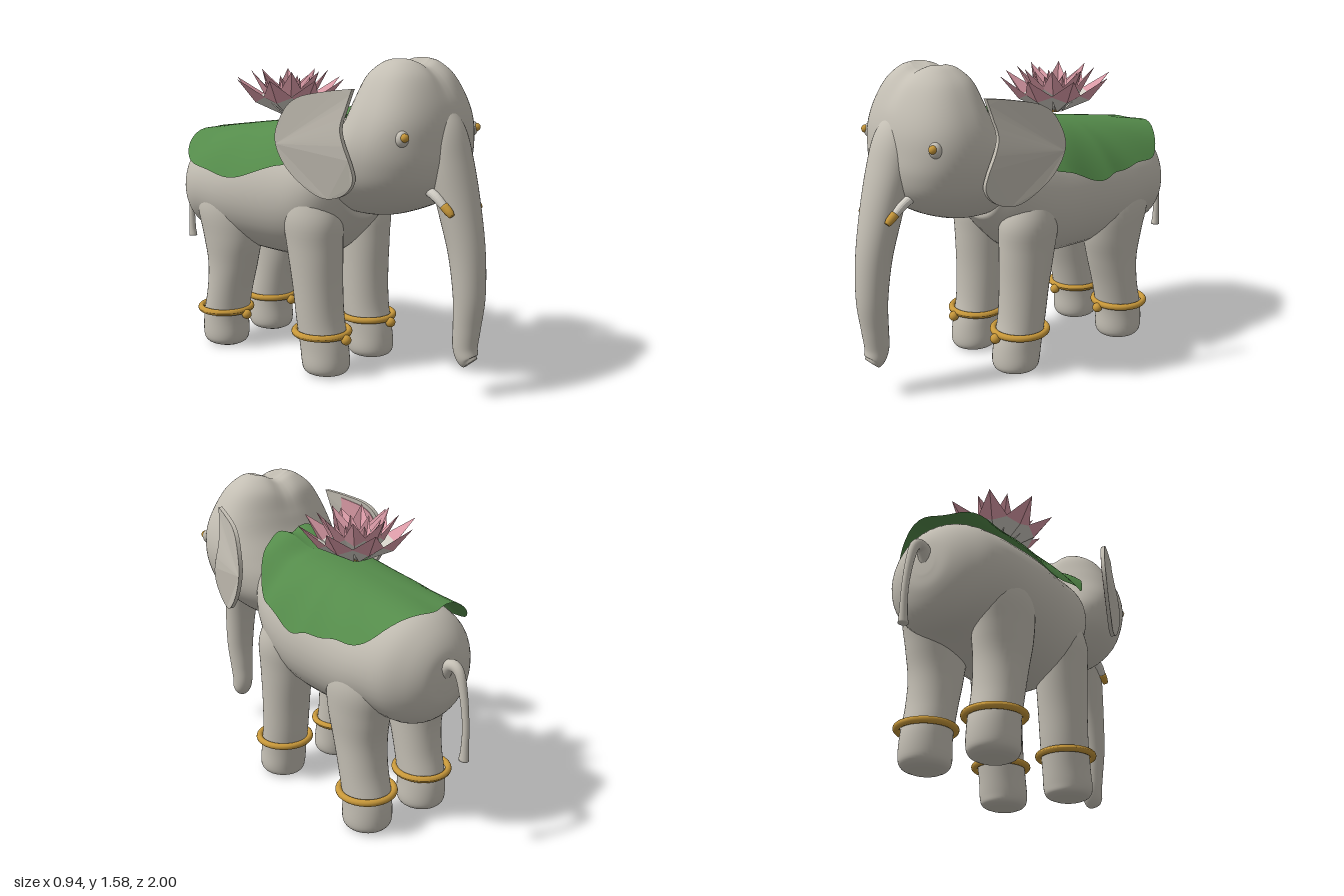
import * as THREE from 'three';

const paint = (name, color, extra = {}) => new THREE.MeshStandardMaterial({ name, color, ...extra });

// Smooth skin through sections [x, y, z, radiusX, radiusV]; w fixes the section normal, otherwise it follows the path.
function loft(sections, { w = null, power = 1, sides = 40, rows = 40 } = {}) {
  const path = new THREE.CatmullRomCurve3(sections.map(s => new THREE.Vector3(s[0], s[1], s[2])), false, 'catmullrom', 0.5);
  const radii = new THREE.CatmullRomCurve3(sections.map(s => new THREE.Vector3(s[3], s[4], 0)), false, 'catmullrom', 0.5);
  const u = new THREE.Vector3(1, 0, 0);
  const bend = a => Math.sign(a) * Math.abs(a) ** power;
  const pos = [], idx = [];
  for (let i = 0; i <= rows; i++) {
    const c = path.getPoint(i / rows), r = radii.getPoint(i / rows);
    const v = (w ? w.clone() : path.getTangent(i / rows)).cross(u).normalize();
    for (let j = 0; j < sides; j++) {
      const t = (j / sides) * Math.PI * 2;
      const p = c.clone().addScaledVector(u, r.x * bend(Math.cos(t))).addScaledVector(v, r.y * bend(Math.sin(t)));
      pos.push(p.x, p.y, p.z);
      const a = i * sides + j, b = i * sides + (j + 1) % sides;
      if (i < rows) idx.push(a, b, a + sides, b, b + sides, a + sides);
    }
  }
  // Rounded off ends
  const first = path.getPoint(0), last = path.getPoint(1), n = (rows + 1) * sides;
  pos.push(first.x, first.y, first.z, last.x, last.y, last.z);
  for (let j = 0; j < sides; j++) {
    const k = (j + 1) % sides, e = rows * sides;
    idx.push(n, k, j, n + 1, e + j, e + k);
  }
  return surface(pos, idx);
}

function surface(pos, idx) {
  const g = new THREE.BufferGeometry();
  g.setAttribute('position', new THREE.Float32BufferAttribute(pos, 3));
  g.setIndex(idx);
  g.computeVertexNormals();
  return g;
}

// Moves every vertex by a rule
function reshape(g, rule) {
  const p = g.attributes.position, v = new THREE.Vector3();
  for (let i = 0; i < p.count; i++) {
    rule(v.fromBufferAttribute(p, i));
    p.setXYZ(i, v.x, v.y, v.z);
  }
  g.computeVertexNormals();
  return g;
}

// Copy reflected across x = 0, with the corner order reversed
function mirrored(g) {
  const m = g.clone();
  if (!m.index) m.setIndex([...Array(m.attributes.position.count).keys()]);
  const a = m.index.array;
  for (let i = 0; i < a.length; i += 3) [a[i], a[i + 2]] = [a[i + 2], a[i]];
  return reshape(m, v => { v.x *= -1; });
}

export function createModel() {
  const model = new THREE.Group();
  model.name = 'elephant';
  const skin = paint('skinGrey', 0xc4bfb4);
  const gold = paint('gold', 0xc8983a);
  const green = paint('clothGreen', 0x558c4b, { side: THREE.DoubleSide });
  const pink = paint('pink', 0xdf9eaa, { side: THREE.DoubleSide, flatShading: true });
  const ivory = paint('ivory', 0xd6d2c9, { side: THREE.DoubleSide, flatShading: true });

  const add = (name, geometry, material) => {
    const mesh = new THREE.Mesh(geometry, material);
    mesh.name = name;
    model.add(mesh);
    return mesh;
  };
  const pair = (name, geometry, material) => {
    add('left' + name, geometry, material);
    add('right' + name, mirrored(geometry), material);
  };
  const down = new THREE.Vector3(0, -1, 0), forward = new THREE.Vector3(0, 0, 1);

  // Body: [z, bottom, top, half width]
  const bodyRows = [
    [-0.845, 0.81, 0.91, 0.05], [-0.83, 0.73, 1.0, 0.13], [-0.78, 0.645, 1.08, 0.21], [-0.7, 0.595, 1.14, 0.28],
    [-0.58, 0.59, 1.17, 0.32], [-0.42, 0.555, 1.2, 0.34], [-0.2, 0.54, 1.24, 0.345], [0, 0.545, 1.25, 0.34],
    [0.14, 0.59, 1.27, 0.33], [0.25, 0.69, 1.28, 0.3], [0.34, 0.8, 1.26, 0.24],
  ].map(([z, b, t, hw]) => [0, (b + t) / 2, z, hw, (t - b) / 2]);
  add('body', loft(bodyRows, { w: forward, rows: 60 }), skin);

  // Head: [y, back, front, half width], with a cleft between the two domes
  const headRows = [
    [1.58, 0.52, 0.63, 0.11], [1.56, 0.47, 0.68, 0.165], [1.5, 0.41, 0.74, 0.24], [1.4, 0.37, 0.79, 0.305],
    [1.3, 0.33, 0.82, 0.348], [1.2, 0.27, 0.83, 0.366], [1.1, 0.21, 0.83, 0.356], [1.0, 0.18, 0.8, 0.318],
    [0.91, 0.2, 0.72, 0.24], [0.85, 0.25, 0.58, 0.15], [0.825, 0.3, 0.46, 0.07],
  ].map(([y, b, f, hw]) => [0, y, (b + f) / 2, hw, (f - b) / 2]);
  add('head', reshape(loft(headRows, { w: down, power: 0.84, sides: 64, rows: 60 }), v => {
    v.y -= 0.03 * Math.exp(-((v.x / 0.055) ** 2)) * THREE.MathUtils.smoothstep(v.y, 1.35, 1.52);
  }), skin);

  // Trunk
  add('trunk', loft([
    [0, 1.37, 0.72, 0.06, 0.05], [0, 1.25, 0.765, 0.115, 0.09], [0, 1.1, 0.805, 0.125, 0.1], [0, 0.9, 0.86, 0.108, 0.095],
    [0, 0.7, 0.905, 0.09, 0.085], [0, 0.5, 0.925, 0.078, 0.075], [0, 0.35, 0.918, 0.065, 0.066],
    [0, 0.25, 0.912, 0.057, 0.06], [0, 0.195, 0.928, 0.052, 0.052], [0, 0.175, 0.946, 0.036, 0.036],
  ], { rows: 60 }), skin);

  // Tusks with gold tips
  pair('Tusk', loft([[0.115, 1.0, 0.74, 0.022, 0.022], [0.122, 0.965, 0.81, 0.022, 0.022], [0.122, 0.915, 0.865, 0.018, 0.018]],
    { sides: 16, rows: 12 }), ivory);
  pair('TuskTip', loft([[0.122, 0.93, 0.852, 0.021, 0.021], [0.122, 0.905, 0.88, 0.02, 0.02], [0.122, 0.888, 0.896, 0.014, 0.014]],
    { sides: 16, rows: 8 }), gold);

  // Eyes
  pair('EyeLid', new THREE.SphereGeometry(0.034, 24, 16).scale(0.95, 1.1, 0.85).translate(0.29, 1.238, 0.735), skin);
  pair('Eye', new THREE.SphereGeometry(0.02, 20, 12).translate(0.3, 1.245, 0.755), gold);

  // Ears: outline drawn in (-z, y), then swept outwards to the back
  const points = list => list.map(([z, y]) => new THREE.Vector2(-z, y));
  const earPlate = (outline, from, depth) => {
    const g = new THREE.ExtrudeGeometry(outline, { depth, bevelEnabled: false, curveSegments: 40 });
    g.translate(0, 0, from).rotateY(Math.PI / 2);
    return reshape(g, v => {
      v.x += 0.325 + (0.52 - v.z) * 0.3 + 0.08 * v.z * Math.exp(-(((v.y - 1.15) / 0.2) ** 2));
    });
  };
  const ear = new THREE.Shape();
  ear.moveTo(-0.505, 1.45);
  ear.splineThru(points([[0.38, 1.435], [0.25, 1.405], [0.18, 1.34], [0.14, 1.215], [0.19, 1.09], [0.29, 0.99],
    [0.38, 0.945], [0.47, 0.965], [0.525, 1.03], [0.52, 1.11], [0.465, 1.26], [0.48, 1.36], [0.505, 1.45]]));
  pair('Ear', earPlate(ear, 0, 0.022), skin);
  const lining = new THREE.Shape();
  lining.moveTo(-0.4, 1.42);
  lining.splineThru(points([[0.26, 1.385], [0.2, 1.33], [0.165, 1.215], [0.21, 1.1], [0.3, 1.01], [0.37, 0.98]]));
  pair('EarLining', earPlate(lining, -0.005, 0.005), pink);

  // Legs with anklets
  const frontLeg = [[0.19, 0.95, 0.12, 0.11, 0.11], [0.2, 0.8, 0.14, 0.135, 0.155], [0.195, 0.65, 0.15, 0.132, 0.147],
    [0.19, 0.45, 0.165, 0.126, 0.128], [0.187, 0.28, 0.18, 0.122, 0.122], [0.185, 0.15, 0.203, 0.12, 0.125],
    [0.185, 0.06, 0.215, 0.122, 0.122], [0.185, 0.02, 0.215, 0.108, 0.112], [0.185, 0.003, 0.215, 0.075, 0.08]];
  const backLeg = [[0.18, 0.95, -0.47, 0.11, 0.13], [0.19, 0.78, -0.46, 0.14, 0.19], [0.185, 0.62, -0.445, 0.137, 0.175],
    [0.18, 0.47, -0.45, 0.127, 0.143], [0.18, 0.32, -0.475, 0.122, 0.125], [0.18, 0.17, -0.507, 0.12, 0.127],
    [0.18, 0.06, -0.51, 0.122, 0.128], [0.18, 0.02, -0.508, 0.108, 0.112], [0.18, 0.003, -0.505, 0.075, 0.08]];
  for (const [name, rows, y, z] of [['Front', frontLeg, 0.217, 0.19], ['Back', backLeg, 0.205, -0.507]]) {
    const x = rows[6][0];
    pair(name + 'Leg', loft(rows, { w: down }), skin);
    pair(name + 'Anklet', new THREE.TorusGeometry(0.137, 0.017, 12, 48).rotateX(Math.PI / 2).translate(x + 0.003, y, z), gold);
    pair(name + 'AnkletBead', new THREE.SphereGeometry(0.026, 20, 14).translate(x, y - 0.018, z + 0.155), gold);
  }

  // Tail
  add('tail', loft([[0, 0.87, -0.8, 0.04, 0.04], [0, 0.935, -0.86, 0.032, 0.03], [0, 0.92, -0.915, 0.024, 0.024],
    [0, 0.82, -0.95, 0.019, 0.02], [0, 0.68, -0.973, 0.016, 0.017], [0, 0.56, -0.975, 0.018, 0.02],
    [0, 0.505, -0.972, 0.022, 0.026]], { sides: 20 }), skin);

  // Cloth: wavy outline filled from the middle and draped over the back
  const hem = new THREE.CatmullRomCurve3([
    [0.06, -0.77], [0.25, -0.68], [0.33, -0.58], [0.35, -0.43], [0.37, -0.3], [0.39, -0.2], [0.38, -0.05], [0.36, 0.09],
    [0.31, 0.19], [0.22, 0.27], [0.13, 0.31], [0.09, 0.25], [0.01, 0.29], [-0.1, 0.31], [-0.25, 0.27], [-0.32, 0.17],
    [-0.36, 0.03], [-0.385, -0.18], [-0.37, -0.4], [-0.33, -0.6], [-0.25, -0.7], [-0.08, -0.73],
  ].map(([x, z]) => new THREE.Vector3(x, 0, z)), true);
  const ridge = z => z > 0.08 ? 1.275 + 0.06 * THREE.MathUtils.smoothstep(z, 0.08, 0.25) : 1.275 - 0.13 * Math.max(0, 0.03 - z);
  const pos = [], idx = [], around = 110, rings = 16;
  for (let i = 0; i <= rings; i++) {
    for (let j = 0; j < around; j++) {
      const p = hem.getPoint(j / around), r = i / rings;
      const x = p.x * r, z = -0.2 + (p.z + 0.2) * r;
      const ripple = 0.008 * Math.sin(j * 0.63) * r ** 4;
      pos.push(x, ridge(z) - 0.25 * (Math.abs(x) / 0.38) ** 2.6 + ripple, z);
      const a = i * around + j, b = i * around + (j + 1) % around;
      if (i < rings) idx.push(a, b, a + around, b, b + around, a + around);
    }
  }
  add('cloth', surface(pos, idx), green);

  // Lotus: rings of folded petals, ivory below and pink at the tips
  const lotus = new THREE.Group();
  lotus.name = 'lotus';
  lotus.position.set(0, 1.265, -0.19);
  model.add(lotus);
  const addPetal = (angle, midR, midY, half, tipR, tipY) => {
    const B = [0, 0, 0.03], L = [-half, midY + 0.02, midR], R = [half, midY + 0.02, midR], M = [0, midY - 0.01, midR + 0.02], T = [0, tipY, tipR];
    const parts = [['petalBase', [B, L, M, B, M, R], ivory], ['petalTip', [L, T, M, M, T, R], pink]];
    for (const [name, corners, material] of parts) {
      const mesh = new THREE.Mesh(surface(corners.flat(), [0, 2, 1, 3, 5, 4]), material);
      mesh.name = name;
      mesh.rotation.y = angle;
      lotus.add(mesh);
    }
  };
  for (let i = 0; i < 8; i++) {
    const a = (i * Math.PI) / 4;
    addPetal(a + Math.PI / 8, 0.175, 0.085, 0.078, 0.295, 0.195);
    addPetal(a, 0.11, 0.115, 0.055, 0.2, 0.235);
    addPetal(a + Math.PI / 8, 0.07, 0.1, 0.036, 0.12, 0.2);
    // Beads around the golden heart
    const bead = new THREE.Mesh(new THREE.SphereGeometry(0.011, 10, 8), gold);
    bead.name = 'lotusBead';
    bead.position.set(0.038 * Math.cos(a), 0.09, 0.038 * Math.sin(a));
    lotus.add(bead);
  }
  const heart = new THREE.Mesh(new THREE.CylinderGeometry(0.035, 0.02, 0.09, 20).translate(0, 0.045, 0), gold);
  heart.name = 'lotusHeart';
  lotus.add(heart);

  return model;
}
